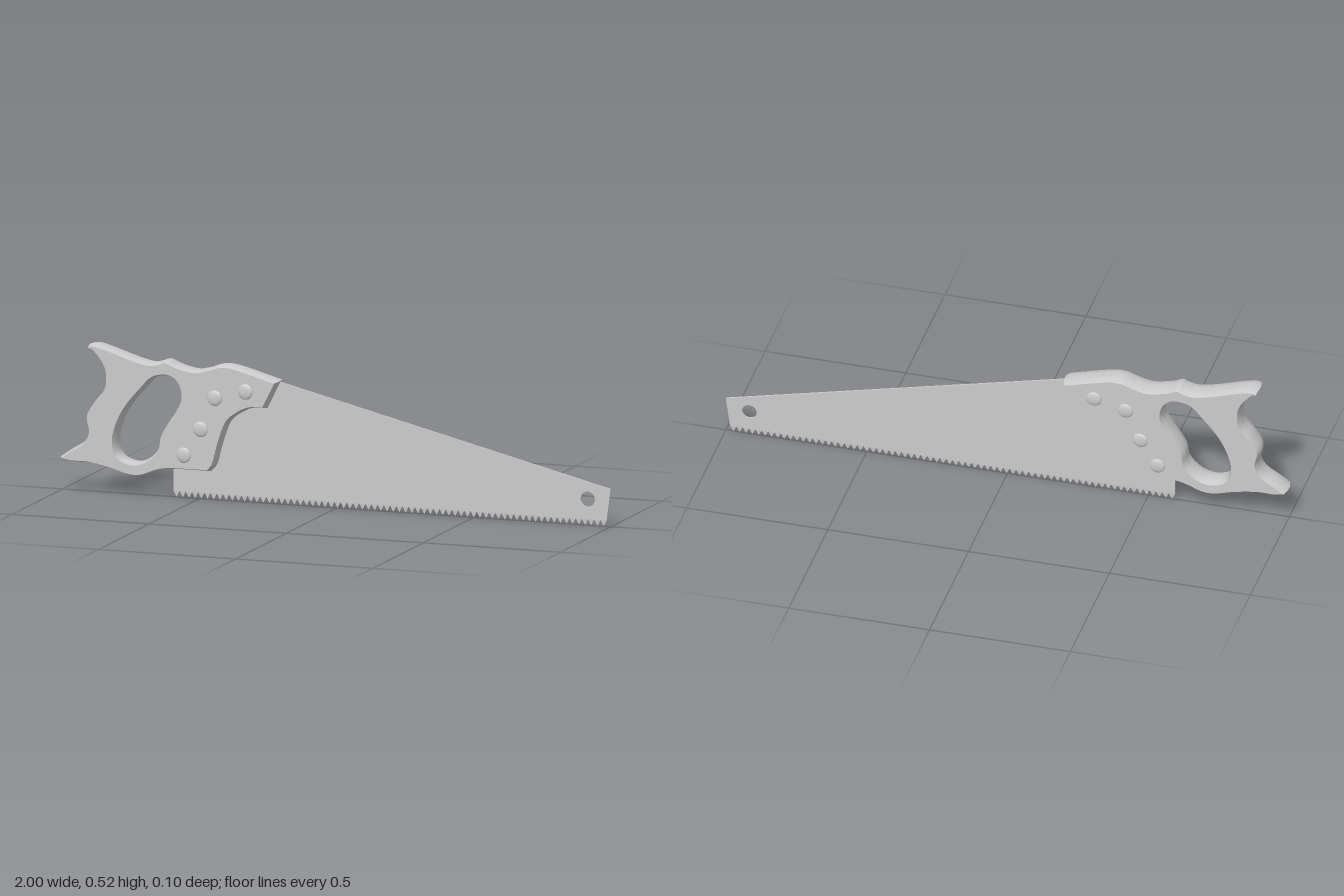
import * as THREE from 'three';
import { toCreasedNormals } from 'three/addons/utils/BufferGeometryUtils.js';

const material = new THREE.MeshStandardMaterial({ color: 0xcccccc });
const vectors = (pairs) => pairs.map(([x, y]) => new THREE.Vector2(x, y));

function addMesh(parent, geometry, name) {
  const mesh = new THREE.Mesh(geometry, material);
  mesh.name = name;
  parent.add(mesh);
  return mesh;
}

// Handle: outline of smooth runs between sharp corners, with a grip opening
function handleGeometry() {
  const shape = new THREE.Shape();
  shape.moveTo(-0.898, 0.513);
  // top edge
  shape.splineThru(vectors([[-0.872, 0.519], [-0.824, 0.508], [-0.738, 0.481], [-0.674, 0.466],
    [-0.636, 0.471], [-0.61, 0.479], [-0.572, 0.464], [-0.508, 0.451], [-0.46, 0.46],
    [-0.412, 0.475], [-0.353, 0.471], [-0.203, 0.43]]));
  // front edge against the blade
  shape.lineTo(-0.251, 0.332);
  shape.splineThru(vectors([[-0.289, 0.332], [-0.326, 0.321], [-0.374, 0.289], [-0.396, 0.251],
    [-0.417, 0.187], [-0.433, 0.128], [-0.455, 0.1]]));
  // bottom edge
  shape.splineThru(vectors([[-0.588, 0.099], [-0.642, 0.09], [-0.7, 0.069], [-0.749, 0.069],
    [-0.818, 0.088], [-0.898, 0.102], [-0.952, 0.102], [-0.995, 0.11]]));
  // rear edge between the two horns
  shape.lineTo(-1, 0.118);
  shape.splineThru(vectors([[-0.963, 0.144], [-0.914, 0.176], [-0.896, 0.214], [-0.904, 0.267],
    [-0.877, 0.316], [-0.84, 0.364], [-0.834, 0.417], [-0.85, 0.46], [-0.898, 0.513]]));

  const grip = [[-0.626, 0.422], [-0.658, 0.412], [-0.695, 0.374], [-0.749, 0.31], [-0.781, 0.251],
    [-0.797, 0.187], [-0.786, 0.139], [-0.749, 0.118], [-0.706, 0.118], [-0.668, 0.139],
    [-0.642, 0.171], [-0.634, 0.214], [-0.61, 0.257], [-0.578, 0.305], [-0.559, 0.348],
    [-0.567, 0.396], [-0.594, 0.42]].map(([x, y]) => new THREE.Vector3(x, y, 0));
  const gripCurve = new THREE.CatmullRomCurve3(grip, true);
  shape.holes.push(new THREE.Path(
    gripCurve.getPoints(64).slice(0, -1).map((p) => new THREE.Vector2(p.x, p.y))));

  const half = 0.042, core = 0.0005;
  const geometry = new THREE.ExtrudeGeometry(shape, {
    depth: 2 * core, curveSegments: 5, bevelEnabled: true, bevelSegments: 6,
    bevelThickness: half, bevelSize: 0.008, bevelOffset: -0.008,
  });
  geometry.translate(0, 0, -core);
  // Respace the bevel rings so the edge is a shallow crowned arc
  const pos = geometry.attributes.position;
  for (let i = 0; i < pos.count; i++) {
    const z = pos.getZ(i);
    const c = THREE.MathUtils.clamp((Math.abs(z) - core) / half, 0, 1);
    const crowned = half * Math.sqrt(1 - Math.sqrt(1 - c * c));
    pos.setZ(i, Math.sign(z) * Math.max(core, crowned));
  }
  return toCreasedNormals(geometry, 0.6);
}

// Blade: tapered plate with a toothed edge, teeth thinned toward their tips
function bladeGeometry() {
  const teeth = 70, left = -0.595, right = 0.985, root = 0.021;
  const shape = new THREE.Shape();
  shape.moveTo(left, root);
  const step = (right - left) / teeth;
  for (let i = 0; i < teeth; i++) {
    shape.lineTo(left + (i + 0.5) * step, 0);
    shape.lineTo(left + (i + 1) * step, root);
  }
  shape.lineTo(1, 0.131);
  shape.lineTo(-0.22, 0.429);
  shape.lineTo(-0.3, 0.42);
  shape.lineTo(-0.5, 0.25);
  shape.lineTo(left, 0.11);
  const hole = new THREE.Path();
  hole.absarc(0.916, 0.091, 0.026, 0, Math.PI * 2, true);
  shape.holes.push(hole);

  const geometry = new THREE.ExtrudeGeometry(shape, { depth: 0.005, bevelEnabled: false, curveSegments: 24 });
  geometry.translate(0, 0, -0.0025);
  const pos = geometry.attributes.position;
  for (let i = 0; i < pos.count; i++) {
    if (pos.getY(i) < root / 2) pos.setZ(i, pos.getZ(i) * 0.25);
  }
  geometry.computeVertexNormals();
  return geometry;
}

export function createModel() {
  const saw = new THREE.Group();
  saw.name = 'handSaw';
  addMesh(saw, handleGeometry(), 'handle');
  addMesh(saw, bladeGeometry(), 'blade');

  // Domed rivets on both faces of the handle
  const rivets = new THREE.Group();
  rivets.name = 'rivets';
  saw.add(rivets);
  const dome = new THREE.SphereGeometry(0.027, 24, 16).scale(1, 1, 0.3);
  for (const [x, y] of [[-0.318, 0.39], [-0.43, 0.361], [-0.482, 0.249], [-0.543, 0.155]]) {
    for (const side of [1, -1]) {
      addMesh(rivets, dome, 'rivet').position.set(x, y, side * 0.042);
    }
  }
  return saw;
}
